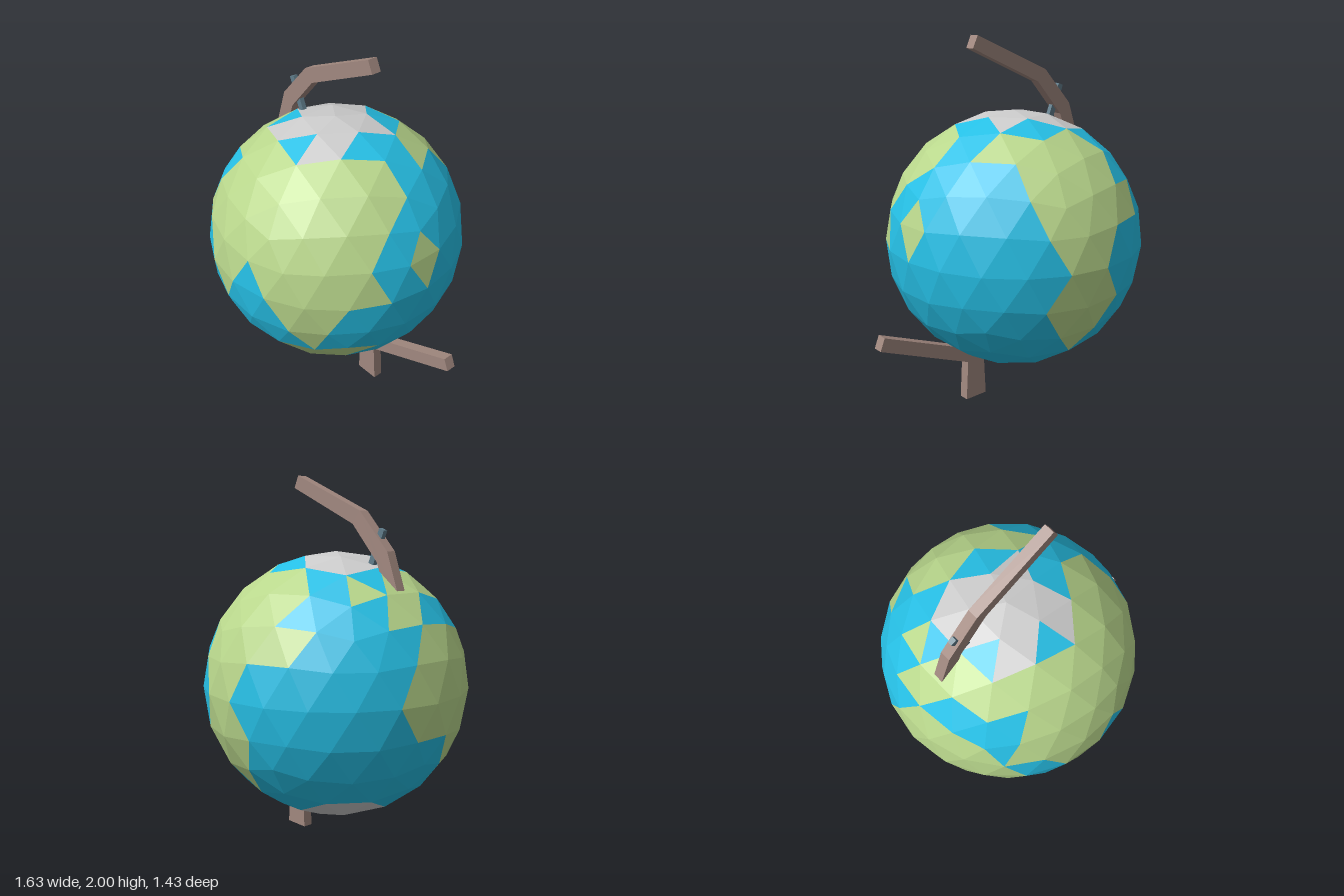
import * as THREE from 'three';

const RADIUS = 0.714;
const CENTRE = new THREE.Vector3(-0.106, 0.884, 0);

// Facet map, pole to pole: each row is five equal sectors. L land, # ice, . sea
const MAP = [
  '#####',
  '.##' + '.##' + '.##' + '##.' + '.#.',
  'LLLLL' + 'LLLLL' + 'LLL.L' + '..LLL' + 'LLL..',
  '.LLLLLL' + 'LLLLL..' + '...LL..' + '...LLLL' + 'LL.....',
  '..LLLLLLLLLLLL.LLLLL......LLLLLLL......L',
  '.LLLLLL.LLL..LLLLLLL........LLL.......L.',
  '..LLL...L...LLLLLLL........LLL..........',
  '..L.........LLL...........LLL...........',
  'LLLL...' + '....L..' + '.......' + '..L....' + '......L',
  'LLL..' + '.....' + '.###.' + '.....' + '.....',
  '...' + '.##' + '###' + '###' + '##.',
  '#####',
];

// Icosahedron corners: two poles and two staggered rings of five
const H = 1 / Math.sqrt(5);
const corner = (deg, y) => {
  const a = THREE.MathUtils.degToRad(deg);
  return new THREE.Vector3(2 * H * Math.cos(a), y, 2 * H * Math.sin(a));
};
const north = new THREE.Vector3(0, 1, 0);
const south = new THREE.Vector3(0, -1, 0);
const upper = (k) => corner(72 * k, H);
const lower = (k) => corner(36 + 72 * k, -H);

function blend(a, wa, b, wb, c, wc) {
  return new THREE.Vector3().addScaledVector(a, wa).addScaledVector(b, wb)
    .addScaledVector(c, wc).normalize().multiplyScalar(RADIUS);
}

// Point j on ring i (0 = north pole, 12 = south pole)
function ringPoint(i, j) {
  const n = Math.min(i, 4, 12 - i);
  const k = n ? Math.floor(j / n) : 0;
  const t = n ? j % n : 0;
  if (i <= 4) return blend(north, 4 - i, upper(k), i - t, upper(k + 1), t);
  if (i >= 8) return blend(south, 4 - n, lower(k), n - t, lower(k + 1), t);
  const b = i - 4, s = t - (4 - b);
  return s <= 0
    ? blend(lower(k), b, upper(k), -s, upper(k + 1), t)
    : blend(upper(k + 1), 4 - b, lower(k), b - s, lower(k + 1), s);
}

// Walk each row as a triangle strip and sort the facets by surface type
function buildGlobe() {
  const facets = { L: [], '.': [], '#': [] };
  MAP.forEach((row, r) => {
    let a = 0, b = 0;
    const sector = row.length / 5;
    [...row].forEach((type, m) => {
      const pointsUp = ((m % sector) % 2 === 0) === (r < 4);
      if (pointsUp) {
        facets[type].push(ringPoint(r + 1, b), ringPoint(r, a), ringPoint(r + 1, b + 1));
        b++;
      } else {
        facets[type].push(ringPoint(r, a + 1), ringPoint(r + 1, b), ringPoint(r, a));
        a++;
      }
    });
  });

  const globe = new THREE.Group();
  globe.name = 'globe';
  globe.position.copy(CENTRE);
  for (const [type, name, color] of [['L', 'land', 0xb9d78c], ['.', 'sea', 0x26c0e6], ['#', 'polarIce', 0xbdbdbd]]) {
    const geometry = new THREE.BufferGeometry().setFromPoints(facets[type]);
    geometry.computeVertexNormals();
    globe.add(part(name, geometry, color));
  }
  return globe;
}

function part(name, geometry, color) {
  const mesh = new THREE.Mesh(geometry, new THREE.MeshStandardMaterial({ color, flatShading: true }));
  mesh.name = name;
  return mesh;
}

// Flat bar cut from an outline in the xy plane, centred on z = 0
function bar(name, outline, depth) {
  const shape = new THREE.Shape(outline.map(([x, y]) => new THREE.Vector2(x, y)));
  const geometry = new THREE.ExtrudeGeometry(shape, { depth, bevelEnabled: false });
  geometry.translate(0, 0, -depth / 2);
  return part(name, geometry, 0xa1887f);
}

export function createModel() {
  const model = new THREE.Group();
  model.name = 'globeOnStand';
  model.add(buildGlobe());

  // Bent arm over the top of the globe
  model.add(bar('upperArm', [
    [-0.61, 1.3], [-0.54, 1.28], [-0.43, 1.55], [-0.257, 1.74],
    [0.195, 1.935], [0.165, 2.0], [-0.31, 1.805], [-0.5, 1.605],
  ], 0.056));

  // Foot with the slanted arm under the globe
  model.add(bar('footAndLowerArm', [
    [0.125, 0], [0.263, 0], [0.25, 0.226], [0.81, 0.461],
    [0.783, 0.528], [0.3, 0.33], [0.14, 0.28],
  ], 0.056));

  // Axis pin, tilted along the globe's spin axis
  const tilt = THREE.MathUtils.degToRad(22.3);
  const pin = part('axisPin', new THREE.BoxGeometry(0.034, 0.26, 0.026), 0x607d8b);
  pin.rotation.z = tilt;
  pin.position.set(-Math.sin(tilt), Math.cos(tilt), 0).multiplyScalar(0.765).add(CENTRE);
  model.add(pin);

  return model;
}
